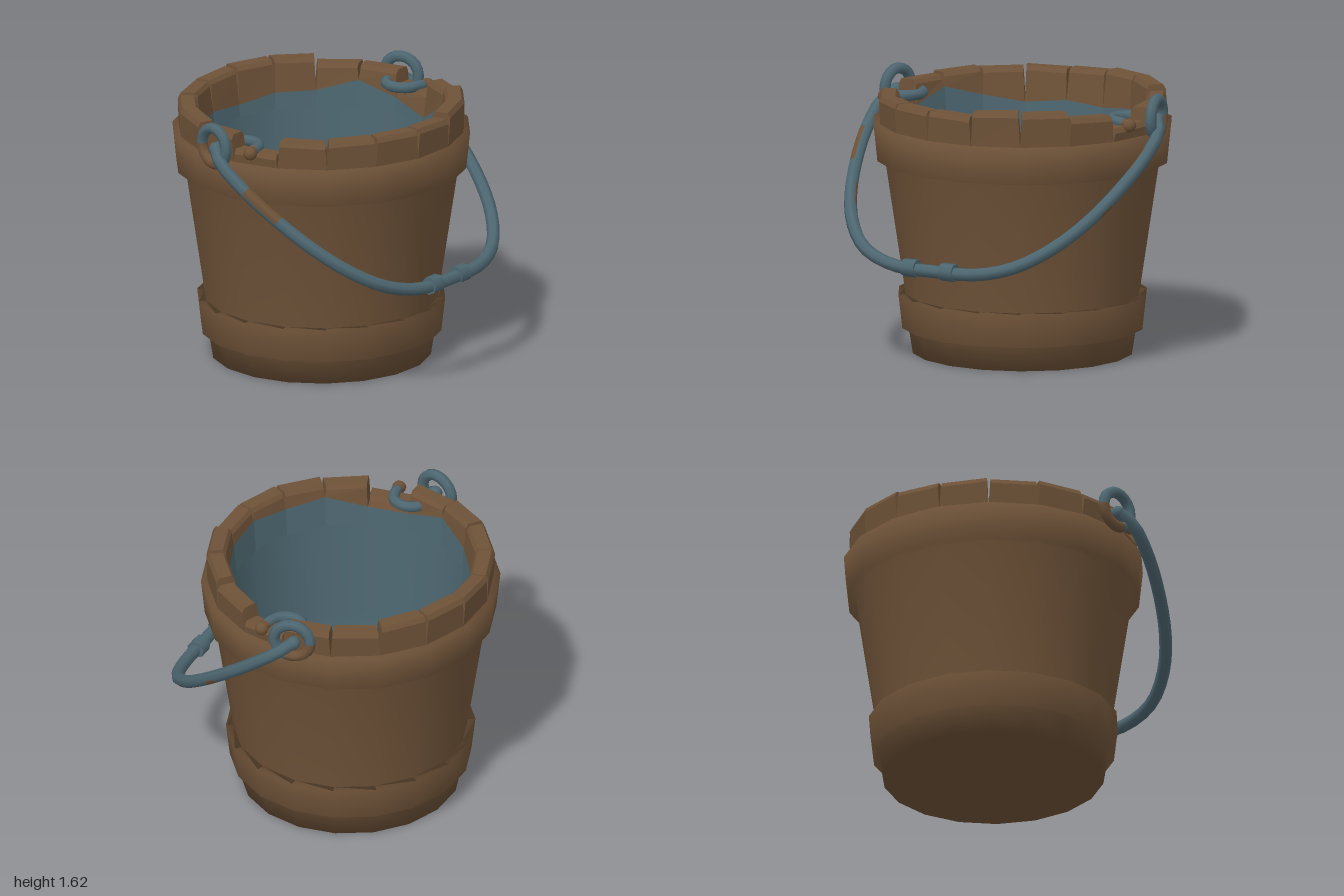
import * as THREE from 'three';

const wood = new THREE.MeshStandardMaterial({ color: 0x6e5238 });
wood.name = 'brown wood and rust';
const iron = new THREE.MeshStandardMaterial({ color: 0x4d6670 });
iron.name = 'blue grey iron';

const STAVES = 18;
const CX = -0.085, CZ = -0.02, STRETCH = 1.015;
const STEP = (Math.PI * 2) / STAVES;

const v3 = (x, y, z) => new THREE.Vector3(x, y, z);
const ringPoint = (a, [r, y]) => [r * Math.cos(a), y, r * Math.sin(a)];
const innerRadius = (y) => 0.6 + (0.13 * (y - 0.1)) / 1.45;

function add(parent, name, geometry, material) {
  const mesh = new THREE.Mesh(geometry, material);
  mesh.name = name;
  parent.add(mesh);
  return mesh;
}

function lathe(points) {
  return new THREE.LatheGeometry(points.map(([r, y]) => new THREE.Vector2(r, y)), STAVES);
}

function facesToGeometry(positions) {
  const g = new THREE.BufferGeometry();
  g.setAttribute('position', new THREE.Float32BufferAttribute(positions, 3));
  g.computeVertexNormals();
  return g;
}

const quad = (out, a, b, c, d) => out.push(...a, ...b, ...c, ...a, ...c, ...d);

// Solid block swept between two angles, each end with its own section
function staveGeometry(a0, a1, s0, s1) {
  const out = [];
  const gap = 0.012;
  const place = (s, a, dir) =>
    s.map((p, i) => ringPoint(a + (i > 0 && i < s.length - 1 ? dir * gap : 0), p));
  const e0 = place(s0, a0, 1), e1 = place(s1, a1, -1);
  for (let i = 0; i < e0.length - 1; i++) quad(out, e1[i], e0[i], e0[i + 1], e1[i + 1]);
  for (let i = 1; i < e0.length - 1; i++) {
    out.push(...e1[0], ...e1[i], ...e1[i + 1]);
    out.push(...e0[0], ...e0[i + 1], ...e0[i]);
  }
  return facesToGeometry(out);
}

// Tube whose rusty segments use the wood-brown material
function rustyTube(curve, segments, radius, sides, closed, isRusty) {
  const g = new THREE.TubeGeometry(curve, segments, radius, sides, closed);
  for (let i = 0; i < segments; i++)
    for (let j = 0; j < sides; j++)
      g.addGroup((i * sides + j) * 6, 6, isRusty(i / segments, j) ? 1 : 0);
  return g;
}

function createBucket() {
  const bucket = new THREE.Group();
  bucket.name = 'bucket';
  bucket.position.set(CX, 0, CZ);
  bucket.scale.z = STRETCH;

  // Base, lower hoop, wall and upper hoop in one profile
  add(bucket, 'body', lathe([
    [0, 0], [0.648, 0], [0.672, 0.152], [0.71, 0.152], [0.733, 0.355], [0.69, 0.355],
    [0.81, 1.158], [0.857, 1.158], [0.88, 1.38], [0.74, 1.38],
  ]), wood);

  // Inside wall and floor
  add(bucket, 'lining', lathe([
    [innerRadius(1.28), 1.28], [innerRadius(0.7), 0.7], [innerRadius(0.12), 0.12], [0, 0.12],
  ]), iron);

  // Uneven stave tops, starting at +x and turning towards +z
  const tops = [1.555, 1.555, 1.55, 1.54, 1.46, 1.54, 1.555, 1.55, 1.555,
    1.56, 1.575, 1.575, 1.54, 1.54, 1.46, 1.54, 1.58, 1.585];
  const paintEdge = [1.46, 1.48, 1.45, 1.47, 1.4, 1.4, 1.47, 1.4, 1.35,
    1.37, 1.35, 1.38, 1.38, 1.45, 1.38, 1.31, 1.45, 1.43];
  const rim = new THREE.Group();
  rim.name = 'rim';
  bucket.add(rim);
  const upperLining = [];
  for (let k = 0; k < STAVES; k++) {
    const a0 = (k - 0.5) * STEP, a1 = a0 + STEP, h = tops[k];
    const section = (slope, edge) => [
      [0.842, 1.375], [0.847, h - 0.03 + slope], [0.83, h + slope], [0.75, h + slope],
      [0.732, h - 0.025 + slope], [innerRadius(edge), edge],
    ];
    const e0 = paintEdge[k], e1 = paintEdge[(k + 1) % STAVES];
    const slope = (k % 3 - 1) * 0.004;
    add(rim, 'staveTop', staveGeometry(a0, a1, section(slope, e0), section(-slope, e1)), wood);
    const low = [innerRadius(1.28), 1.28];
    quad(upperLining, ringPoint(a0, low), ringPoint(a1, low),
      ringPoint(a1, [innerRadius(e1), e1]), ringPoint(a0, [innerRadius(e0), e0]));
  }
  add(bucket, 'upperLining', facesToGeometry(upperLining), iron);
  return bucket;
}

// Staple through the rim with a hanging ring, s = +1 front, -1 back
function createMount(s) {
  const mount = new THREE.Group();
  mount.name = s > 0 ? 'frontMount' : 'backMount';
  const shift = s > 0 ? 0 : 0.02;

  const staple = new THREE.CatmullRomCurve3([
    [-0.18, 1.45, 0.89], [-0.18, 1.47, 0.79], [-0.15, 1.47, 0.71], [-0.07, 1.47, 0.675],
    [0.01, 1.47, 0.71], [0.04, 1.47, 0.79], [0.045, 1.46, 0.87],
  ].map(([x, y, z]) => v3(x + shift, y, z * s)));
  add(mount, 'staple', rustyTube(staple, 18, 0.033, 7, false, (t) => t > 0.86), [iron, wood]);
  const tip = add(mount, 'stapleTip', new THREE.IcosahedronGeometry(0.042, 1), wood);
  tip.position.set(0.05 + shift, 1.46, 0.85 * s);

  const loop = new THREE.CatmullRomCurve3(Array.from({ length: 10 }, (_, i) => {
    const a = (i / 10) * Math.PI * 2;
    const x = 0.108 * Math.cos(a);
    return v3(-0.178 + shift + x, 1.475 + 0.108 * Math.sin(a), s * (0.9 + 0.22 * x));
  }), true);
  add(mount, 'ring', rustyTube(loop, 20, 0.034, 7, true, (t) => t > 0.48 && t < 0.76), [iron, wood]);
  return mount;
}

function createHandle() {
  const handle = new THREE.Group();
  handle.name = 'handle';
  // Half of the bail as [z, y]; x follows its slanted plane
  const half = [[0.9, 1.46], [0.955, 1.4], [0.955, 1.27], [0.91, 1.12], [0.82, 0.95],
    [0.7, 0.815], [0.52, 0.7], [0.3, 0.643]];
  const onPlane = ([z, y]) => v3(-0.16 + (1.455 - y) * 1.275, y, z);
  const path = [...half, [0, 0.633], ...half.map(([z, y]) => [-z, y]).reverse()];
  const curve = new THREE.CatmullRomCurve3(path.map(onPlane));
  const rusty = (t, j) =>
    (t > 0.07 && t < 0.14 && j < 2) || (t > 0.2 && t < 0.23 && j === 3) ||
    (t > 0.78 && t < 0.81 && j > 3) || (t > 0.88 && t < 0.93 && j === 2);
  add(handle, 'bail', rustyTube(curve, 44, 0.039, 7, false, rusty), [iron, wood]);
  for (const t of [0, 1]) {
    const end = add(handle, 'bailEnd', new THREE.IcosahedronGeometry(0.042, 1), iron);
    end.position.copy(curve.getPointAt(t));
  }
  // Collars either side of the grip
  for (const z of [0.16, -0.1]) {
    const collar = add(handle, 'collar', new THREE.CylinderGeometry(0.055, 0.055, 0.09, 7), iron);
    collar.rotation.x = Math.PI / 2;
    collar.position.set(0.882, 0.638, z);
  }
  return handle;
}

export function createModel() {
  const model = new THREE.Group();
  model.name = 'woodenBucket';
  model.add(createBucket(), createMount(1), createMount(-1), createHandle());
  return model;
}
